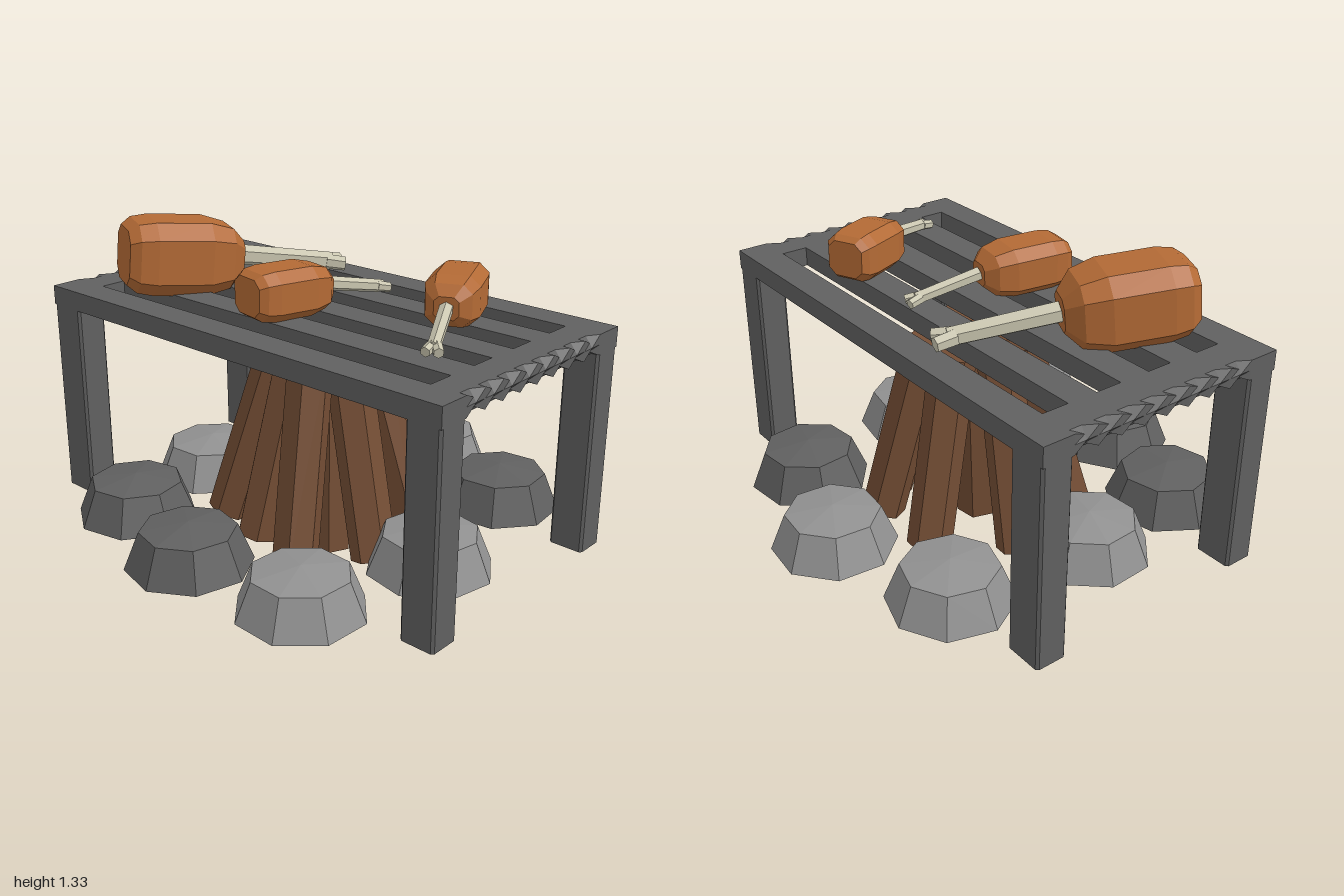
import * as THREE from 'three';

const mat = (name, color, side = THREE.FrontSide) => {
  const m = new THREE.MeshStandardMaterial({ color, side });
  m.name = name;
  return m;
};

// Facet a geometry by giving every triangle its own normals
function flat(geo) {
  const g = geo.index ? geo.toNonIndexed() : geo;
  g.computeVertexNormals();
  return g;
}

function addMesh(parent, name, geo, material) {
  const m = new THREE.Mesh(flat(geo), material);
  m.name = name;
  parent.add(m);
  return m;
}

// Box given by its limits
function boxBetween(x0, x1, y0, y1, z0, z1) {
  return new THREE.BoxGeometry(x1 - x0, y1 - y0, z1 - z0)
    .translate((x0 + x1) / 2, (y0 + y1) / 2, (z0 + z1) / 2);
}

// Move a geometry built along +y from the origin so that it starts at a and points to b, without roll
function aim(geo, a, b) {
  const y = b.clone().sub(a).normalize();
  const x = y.clone().cross(new THREE.Vector3(0, 1, 0)).normalize();
  const z = x.clone().cross(y);
  return geo.applyMatrix4(new THREE.Matrix4().makeBasis(x, y, z).setPosition(a));
}

function rod(a, b, rStart, rEnd, sides) {
  const len = a.distanceTo(b);
  return aim(new THREE.CylinderGeometry(rEnd, rStart, len, sides).translate(0, len / 2, 0), a, b);
}

// Boxy eight-sided body of revolution: the flats are widened towards a square
function boxyLathe(profile, len, halfWidth, halfHeight) {
  const pts = profile.map(([t, q]) => new THREE.Vector2(q / Math.cos(Math.PI / 8), t * len));
  const g = new THREE.LatheGeometry(pts, 8, Math.PI / 8);
  const p = g.attributes.position;
  for (let i = 0; i < p.count; i++) {
    const x = p.getX(i), z = p.getZ(i);
    if (Math.abs(x) < Math.abs(z)) p.setX(i, x * 1.45);
    else p.setZ(i, z * 1.45);
  }
  return g.scale(halfWidth, 1, halfHeight);
}

const V = (x, y, z) => new THREE.Vector3(x, y, z);

export function createModel() {
  const root = new THREE.Group();
  root.name = 'campfireGrill';
  const iron = mat('iron', 0x606060);
  const paleStone = mat('paleStone', 0x919191, THREE.DoubleSide);
  const darkStone = mat('darkStone', 0x606060, THREE.DoubleSide);
  const wood = mat('wood', 0x734d34);
  const meat = mat('roastMeat', 0xb36a35);
  const bone = mat('bone', 0xcac6b0);

  // Grill rack: five slats, the outer two running the full width
  const rack = new THREE.Group();
  rack.name = 'rack';
  root.add(rack);
  const slats = [[-0.53, -0.40], [-0.29, -0.165], [-0.055, 0.075], [0.18, 0.31], [0.42, 0.55]];
  slats.forEach(([z0, z1], i) => {
    const outer = i === 0 || i === 4;
    addMesh(rack, 'slat', boxBetween(outer ? -1 : -0.84, outer ? 1 : 0.855, 0.955, 1.035, z0, z1), iron);
  });

  // End bars, each with a strip of notches along its outer edges
  addMesh(rack, 'endBar', boxBetween(-0.97, -0.84, 0.955, 1.035, -0.40, 0.42), iron);
  addMesh(rack, 'endBar', boxBetween(0.855, 0.97, 0.955, 1.035, -0.40, 0.42), iron);
  for (const s of [-1, 1]) {
    const len = 0.82, segs = 16, w = 0.03;
    const g = new THREE.BoxGeometry(w, 0.08, len, 1, 2, segs);
    const p = g.attributes.position;
    for (let i = 0; i < p.count; i++) {
      const k = Math.round((p.getZ(i) / len + 0.5) * segs);
      const outer = p.getX(i) * s > 0, edge = Math.abs(p.getY(i)) > 0.03;
      if (outer && edge && k % 2) {
        p.setX(i, p.getX(i) - s * 0.012);
        p.setY(i, p.getY(i) * 0.4);
      }
    }
    g.translate(s * (1 - w / 2), 0.995, 0.01);
    addMesh(rack, 'notchedEdge', g, iron);
  }

  // Legs with narrow bevelled edges
  for (const [x, hx] of [[-0.92, 0.08], [0.9275, 0.0725]]) {
    for (const z of [-0.465, 0.485]) {
      const hz = 0.065, c = 0.01;
      const leg = new THREE.Shape([
        [hx - c, -hz], [hx, c - hz], [hx, hz - c], [hx - c, hz],
        [c - hx, hz], [-hx, hz - c], [-hx, c - hz], [c - hx, -hz],
      ].map(([a, b]) => new THREE.Vector2(a, b)));
      const g = new THREE.ExtrudeGeometry(leg, { depth: 0.82, bevelEnabled: false });
      g.rotateX(-Math.PI / 2).translate(x, 0.137, z);
      addMesh(root, 'leg', g, iron);
    }
  }

  // Ring of hollow stones: x, z, turn, material
  const stones = [
    [-0.515, -0.54, 0.1, paleStone], [0.04, -0.70, 0.3, paleStone],
    [0.52, -0.53, 0.5, darkStone], [0.64, 0.10, 0.2, paleStone],
    [0.49, 0.65, 0.35, paleStone], [-0.05, 0.695, 0.15, darkStone],
    [-0.53, 0.55, 0.6, darkStone], [-0.60, 0.06, 0.45, paleStone],
  ];
  const stoneProfile = [[0.25, 0.15], [0.188, 0.302], [0.0001, 0.33]].map(([r, y]) => new THREE.Vector2(r, y));
  for (const [x, z, turn, m] of stones) {
    const g = new THREE.LatheGeometry(stoneProfile, 8).rotateY(turn).translate(x, 0, z);
    addMesh(root, 'stone', g, m);
  }

  // Leaning logs: foot x, y, z and head x, y, z
  const logs = [
    [0.22, 0.11, 0.40, 0.12, 0.92, 0.19], [-0.08, 0.11, 0.30, -0.02, 0.87, 0.12],
    [-0.33, 0.11, 0.22, -0.15, 0.87, 0.07], [-0.37, 0.10, -0.10, -0.16, 0.87, -0.04],
    [-0.15, 0.11, -0.38, -0.08, 0.87, -0.20], [0.18, 0.11, -0.38, 0.08, 0.87, -0.21],
    [0.39, 0.12, -0.13, 0.17, 0.88, -0.07], [0.41, 0.12, 0.15, 0.17, 0.89, 0.05],
    [0.30, 0.12, -0.26, 0.13, 0.86, -0.13], [0.07, 0.01, 0.03, 0.02, 0.89, -0.03],
  ];
  for (const [ax, ay, az, bx, by, bz] of logs) {
    addMesh(root, 'log', rod(V(ax, ay, az), V(bx, by, bz), 0.091, 0.091, 6), wood);
  }

  // Drumsticks: blunt end, neck, bone tip, half width, half height, bone radius
  const drumsticks = [
    [V(-0.69, 1.195, 0.42), V(-0.475, 1.15, -0.015), V(-0.29, 1.085, -0.375), 0.155, 0.148, 0.043],
    [V(-0.05, 1.135, 0.36), V(0.02, 1.125, 0.0), V(0.075, 1.07, -0.26), 0.112, 0.097, 0.029],
    [V(0.43, 1.135, -0.35), V(0.57, 1.125, -0.04), V(0.705, 1.07, 0.21), 0.105, 0.097, 0.028],
  ];
  // Distance along the meat, relative radius
  const meatProfile = [[0, 0.0001], [0, 0.74], [0.08, 0.93], [0.22, 1], [0.68, 1], [0.88, 0.84], [1, 0.45], [1, 0.0001]];
  for (const [a, neck, tip, hw, hh, r] of drumsticks) {
    const stick = new THREE.Group();
    stick.name = 'drumstick';
    root.add(stick);
    const body = boxyLathe(meatProfile, a.distanceTo(neck), hw, hh);
    addMesh(stick, 'meat', aim(body, a, neck), meat);

    // Bone shaft with a forked end
    addMesh(stick, 'boneShaft', rod(neck, tip, r, r * 0.9, 6), bone);
    const dir = tip.clone().sub(neck).normalize();
    const side = dir.clone().cross(V(0, 1, 0)).normalize();
    for (const s of [-1, 1]) {
      const from = tip.clone().addScaledVector(dir, -r * 0.6).addScaledVector(side, s * r * 0.3);
      const to = tip.clone().addScaledVector(dir, r * 1.2).addScaledVector(side, s * r * 0.85);
      addMesh(stick, 'boneKnuckle', rod(from, to, r * 0.75, r * 0.7, 6), bone);
    }
  }
  return root;
}
